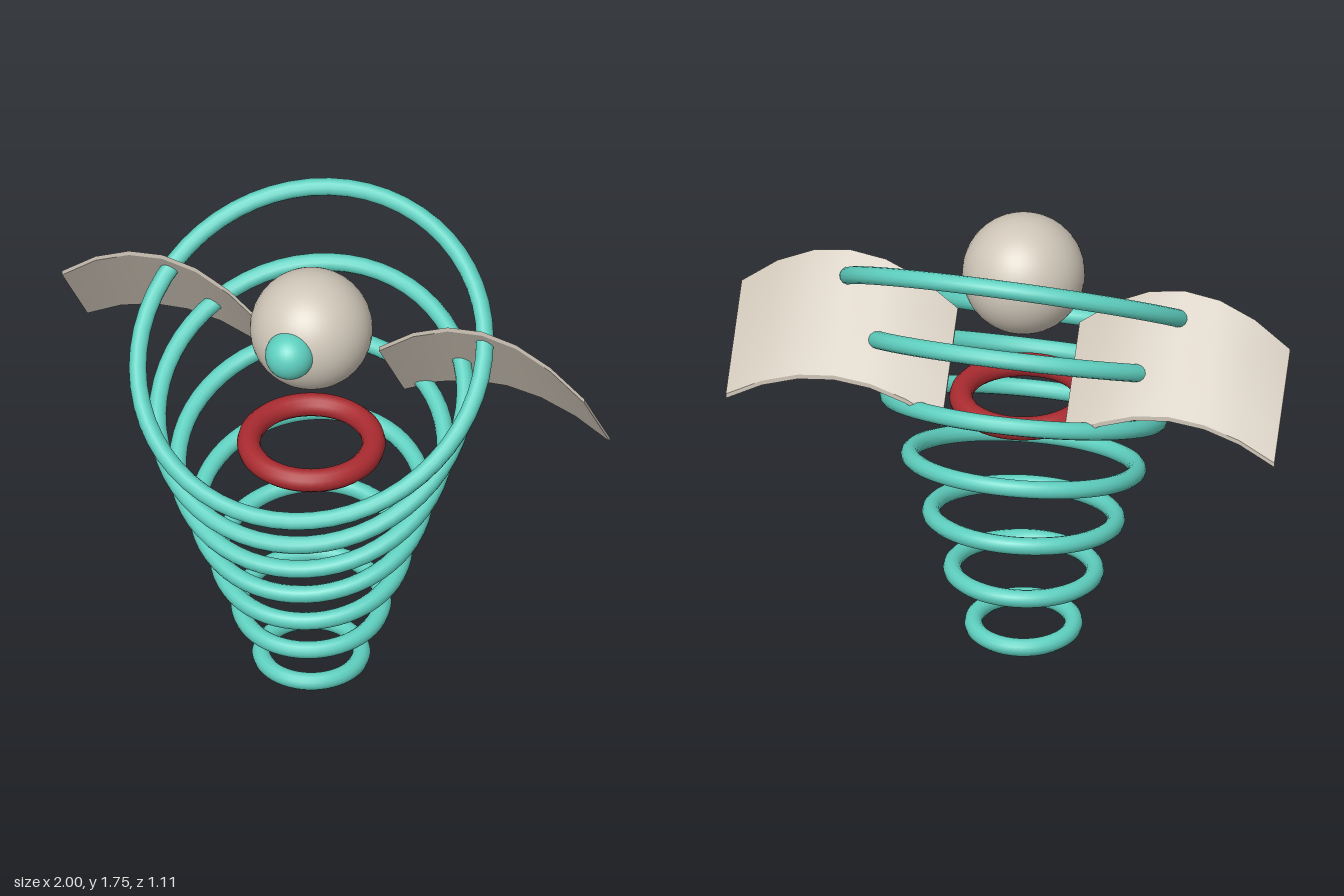
import * as THREE from 'three';

export function createModel() {
  const model = new THREE.Group();
  const mat = (name, color) => {
    const m = new THREE.MeshStandardMaterial({ color });
    m.name = name;
    return m;
  };
  const teal = mat('teal', 0x5ecfbf);
  const cream = mat('cream', 0xcfc6b8);
  const red = mat('red', 0xaa2b30);

  const add = (name, geometry, material, x = 0, y = 0, z = 0) => {
    const mesh = new THREE.Mesh(geometry, material);
    mesh.name = name;
    mesh.position.set(x, y, z);
    model.add(mesh);
    return mesh;
  };

  // Body: widening rings, each tilted further back than the one below
  for (let i = 0; i < 7; i++) {
    const ring = add('bodyRing' + (i + 1),
      new THREE.TorusGeometry(0.178 + 0.0755 * i, 0.032, 12, 56), teal, 0, 0.034 + 0.221 * i, 0);
    ring.rotation.x = Math.PI / 2 + 0.1 * i;
  }

  // Collar, head and nose
  const collar = add('collar', new THREE.TorusGeometry(0.222, 0.042, 12, 48), red, 0, 0.965, 0);
  collar.rotation.x = Math.PI / 2;
  add('head', new THREE.SphereGeometry(0.218, 40, 28), cream, 0, 1.475, 0);
  add('nose', new THREE.SphereGeometry(0.088, 28, 20), teal, 0, 1.495, 0.197);

  // Wings: thin plates arched across their width and sloping down to the back
  const wing = (name, width, x, y, z) => {
    const g = new THREE.BoxGeometry(width, 0.018, 0.232, 6, 1, 4);
    const p = g.attributes.position;
    for (let i = 0; i < p.count; i++) {
      const u = p.getX(i) / (width / 2);
      const back = 0.5 - p.getZ(i) / 0.232;
      const rise = 0.185 - 0.04 * back;
      p.setY(i, p.getY(i) - 0.335 * back + rise * (1 - u * u) - 0.04 * back * (1 - u * u) * 0.3);
    }
    g.computeVertexNormals();
    add(name, g, cream, x, y, z);
  };
  wing('leftWing', 0.79, 0.605, 1.36, -0.236);
  wing('rightWing', 0.77, -0.615, 1.355, -0.217);

  return model;
}
